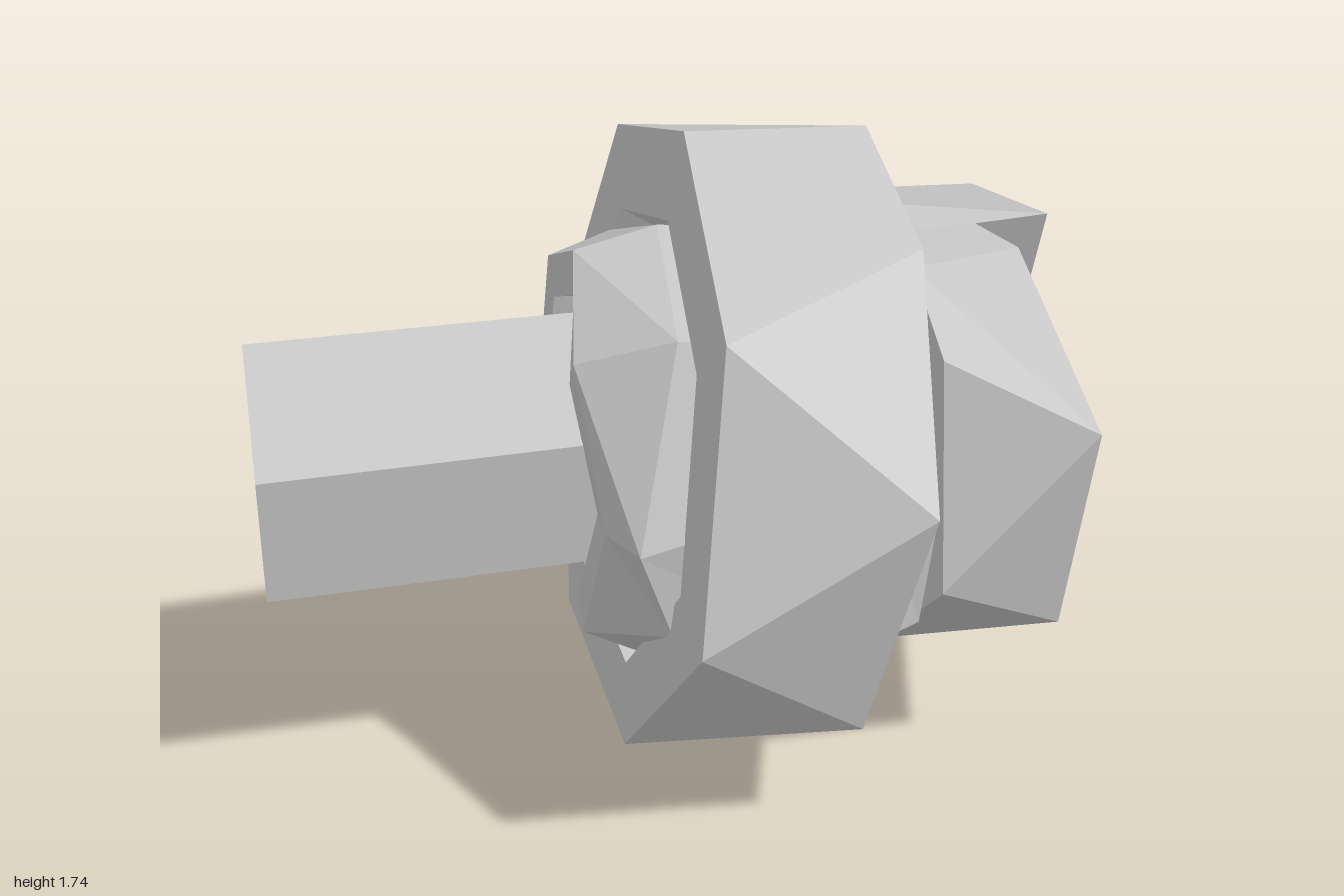
import * as THREE from 'three';

const CY = 0.87; // height of the bolt axis

// Skin a series of [x, y, z] loops; 'ring' joins last loop to first, otherwise ends are capped
function loft(loops, ring) {
  const pos = [], n = loops[0].length, m = loops.length;
  const tri = (a, b, c) => {
    const [p, q, r] = [a, b, c].map(v => new THREE.Vector3(...v));
    if (q.sub(p).cross(r.sub(p)).length() > 1e-7) pos.push(...a, ...b, ...c);
  };
  for (let i = 0; i < (ring ? m : m - 1); i++) {
    const s = loops[i], e = loops[(i + 1) % m];
    for (let j = 0; j < n; j++) {
      const k = (j + 1) % n;
      tri(s[j], s[k], e[k]);
      tri(s[j], e[k], e[j]);
    }
  }
  if (!ring) for (let j = 1; j < n - 1; j++) {
    tri(loops[0][0], loops[0][j + 1], loops[0][j]);
    tri(loops[m - 1][0], loops[m - 1][j], loops[m - 1][j + 1]);
  }
  const g = new THREE.BufferGeometry();
  g.setAttribute('position', new THREE.Float32BufferAttribute(pos, 3));
  g.computeVertexNormals();
  return g;
}

// [z, y] outline placed at a constant x
const at = (x, pts) => pts.map(([z, y]) => [x, y, z]);
// Shrink a loop toward the axis
const shrink = (loop, s) => loop.map(([x, y, z]) => [x, CY + (y - CY) * s, z * s]);
// Drop a loop onto a tilted plane that crosses the y = 0 line at x0
const tilt = (x0, loop) => loop.map(([, y, z]) => [x0 + 0.134 * y + 0.025 * z, y, z]);

export function createModel() {
  const group = new THREE.Group();
  const steel = new THREE.MeshStandardMaterial({ color: 0xc6c6c6 });
  steel.name = 'grey steel';
  steel.flatShading = true;
  const add = (name, geo, parent = group) => {
    const mesh = new THREE.Mesh(geo, steel);
    mesh.name = name;
    parent.add(mesh);
  };

  // Five-sided shaft
  const shaftNear = [[0.29, 1.03], [0.27, 0.69], [-0.1, 0.57], [-0.37, 0.8], [-0.155, 1.18]];
  add('shaft', loft([
    at(-1, [[0.29, 1.01], [0.27, 0.67], [-0.05, 0.58], [-0.31, 0.8], [-0.09, 1.2]]),
    at(-0.2, shaftNear),
    at(0.62, shaftNear),
  ]));

  // Large tilted washer: seven corners on one face, eight on the other
  const A = [[-0.05, 1.67], [0.44, 1.54], [0.83, 1.04], [0.66, 0.36], [0.01, 0], [-0.71, 0.41], [-0.8, 1.08], [-0.52, 1.49]];
  const B = [[0.09, 1.74], [0.65, 1.44], [0.84, 0.74], [0.36, 0.18], [-0.37, 0.17], [-0.84, 0.89], [-0.52, 1.55]];
  const pairs = [[0, 0], [1, 1], [2, 2], [3, 2], [3, 3], [4, 3], [4, 4], [5, 4], [5, 5], [6, 5], [7, 6]];
  const washL = at(0, pairs.map(p => B[p[1]]));
  const washR = at(0, pairs.map(p => A[p[0]]));
  add('outerWasher', loft([
    tilt(-0.16, shrink(washL, 0.73)), tilt(-0.16, washL),
    tilt(0.35, washR), tilt(0.35, shrink(washR, 0.73)),
  ], true));

  // Irregular collar inside the washer, widest in its middle
  const colL = [[-0.18, 1.42, 0], [-0.23, 1.24, 0.27], [-0.19, 0.87, 0.45], [-0.22, 0.5, 0.3],
    [-0.11, 0.37, -0.1], [-0.2, 0.55, -0.4], [-0.2, 0.87, -0.47], [-0.18, 1.24, -0.4]];
  const colM = [[0.03, 1.47, 0], [0, 1.33, 0.38], [-0.13, 0.87, 0.58], [-0.05, 0.64, 0.58],
    [0, 0.3, 0.16], [0, 0.3, -0.25], [0, 0.75, -0.61], [0, 1.27, -0.47]];
  const colN = [[0.42, 1.45, 0.05], [0.42, 1.29, 0.47], [0.42, 1.02, 0.6], [0.42, 0.53, 0.57],
    [0.42, 0.28, 0.16], [0.42, 0.26, -0.2], [0.42, 0.71, -0.62], [0.45, 1.27, -0.49]];
  const colR = [[0.61, 1.4, 0.1], [0.61, 1.27, 0.41], [0.62, 0.86, 0.53], [0.6, 0.55, 0.5],
    [0.6, 0.34, 0.16], [0.6, 0.34, -0.26], [0.61, 0.73, -0.54], [0.61, 1.22, -0.46]];
  add('collar', loft([shrink(colL, 0.78), colL, colM, colN, colR, shrink(colR, 0.7)], true));

  // Slotted head: two halves and the sloping slot floor between them
  const head = new THREE.Group();
  head.name = 'head';
  group.add(head);
  const tip = [0.88, 1.44, 0.25];
  add('headFrontHalf', loft([
    at(0.62, [[0.23, 1.4], [0.49, 1.27], [0.6, 0.69], [0.6, 0.69], [0.16, 0.28], [-0.12, 0.27]]),
    [tip, ...at(0.99, [[0.6, 1.09], [0.6, 1.09], [0.47, 0.48], [0.47, 0.48], [-0.12, 0.26]])],
  ]), head);
  add('headBackHalf', loft([
    at(0.62, [[-0.19, 0.29], [-0.3, 0.31], [-0.63, 0.69], [-0.39, 1.37], [0.03, 1.49], [0.13, 1.45]]),
    at(0.99, [[-0.24, 0.34], [-0.24, 0.34], [-0.6, 0.67], [-0.38, 1.36], [0.15, 1.48], [0.15, 1.48]]),
  ]), head);
  add('slotFloor', loft([
    at(0.62, [[0.23, 1.4], [-0.12, 0.27], [-0.19, 0.29], [0.13, 1.45]]),
    [tip, [0.86, 0.265, -0.12], [0.8, 0.31, -0.2], [0.8, 1.47, 0.145]],
  ]), head);

  return group;
}
